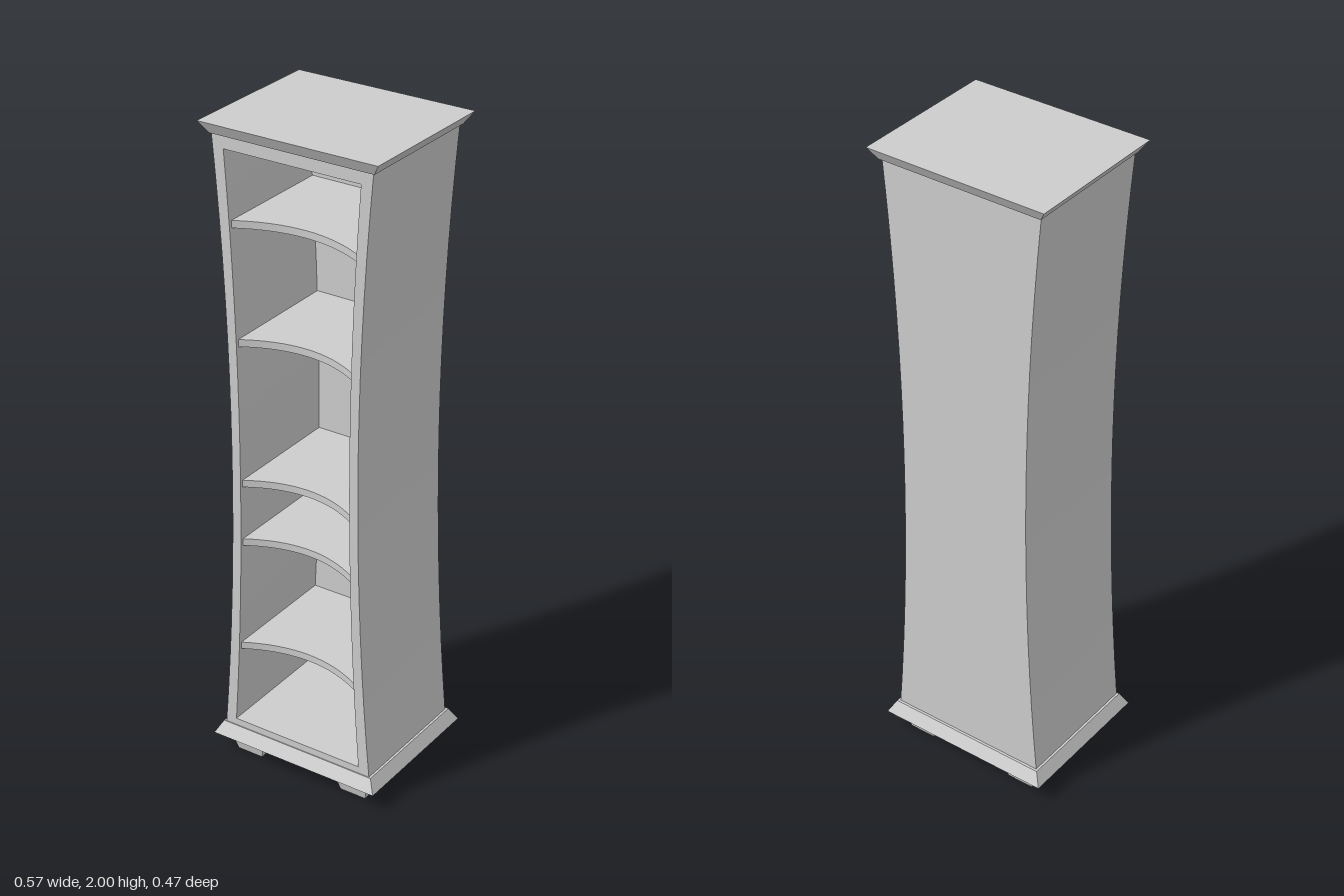
import * as THREE from 'three';
import { toCreasedNormals } from 'three/addons/utils/BufferGeometryUtils.js';

const BOTTOM = 0.1, TOP = 1.965, MID = 1.03, HALF = 0.933;
const bow = (y) => ((y - MID) / HALF) ** 2;
const outerHalf = (y) => 0.211 + 0.043 * bow(y);
const innerHalf = (y) => 0.183 + 0.036 * bow(y);

// Closed waisted outline between two heights
function waistedPoints(halfWidth, y0, y1, steps = 16) {
  const right = [], left = [];
  for (let i = 0; i <= steps; i++) {
    const y = y0 + (y1 - y0) * i / steps;
    right.push(new THREE.Vector2(halfWidth(y), y));
    left.unshift(new THREE.Vector2(-halfWidth(y), y));
  }
  return [...right, ...left];
}

function extrude(shape, depth) {
  const g = new THREE.ExtrudeGeometry(shape, { depth, bevelEnabled: false, curveSegments: 16 });
  return toCreasedNormals(g, 0.5);
}

// Box whose top and bottom have different half sizes
function taperedBox([bx, bz], [tx, tz], height, openBottom = false) {
  const box = new THREE.BoxGeometry(2, height, 2);
  const p = box.attributes.position;
  for (let i = 0; i < p.count; i++) {
    const up = p.getY(i) > 0;
    p.setX(i, p.getX(i) * (up ? tx : bx));
    p.setZ(i, p.getZ(i) * (up ? tz : bz));
  }
  if (openBottom) box.setIndex([...box.index.array].filter((_, i) => i < 18 || i > 23));
  box.clearGroups();
  const g = box.toNonIndexed();
  g.computeVertexNormals();
  return g;
}

export function createModel() {
  const group = new THREE.Group();
  const grey = new THREE.MeshStandardMaterial({ color: 0xcccccc, side: THREE.DoubleSide });
  grey.name = 'plain grey';
  const add = (name, geometry, x = 0, y = 0, z = 0) => {
    const mesh = new THREE.Mesh(geometry, grey);
    mesh.name = name;
    mesh.position.set(x, y, z);
    group.add(mesh);
    return mesh;
  };

  // Waisted case with its opening, closed by a back panel
  const caseShape = new THREE.Shape(waistedPoints(outerHalf, BOTTOM, TOP));
  caseShape.holes.push(new THREE.Path(waistedPoints(innerHalf, 0.122, 1.928).reverse()));
  add('case', extrude(caseShape, 0.39), 0, 0, -0.18);
  const backShape = new THREE.Shape(waistedPoints(outerHalf, BOTTOM, TOP));
  add('backPanel', extrude(backShape, 0.025), 0, 0, -0.205);

  // Shelves with a hollowed front edge
  for (const y of [0.37, 0.725, 0.917, 1.355, 1.703]) {
    const w = innerHalf(y + 0.011), front = 0.2, back = -0.18;
    const s = new THREE.Shape();
    s.moveTo(-w, -back);
    s.lineTo(-w, -front);
    s.quadraticCurveTo(0, -front + 0.11, w, -front);
    s.lineTo(w, -back);
    s.closePath();
    const shelf = add('shelf', extrude(s, 0.022), 0, y + 0.022, 0);
    shelf.rotation.x = Math.PI / 2;
    shelf.scale.y = -1;
  }

  // Cornice and hollow plinth
  add('cornice', taperedBox([0.259, 0.214], [0.283, 0.234], 0.035), 0, 1.9825, 0);
  add('plinth', taperedBox([0.283, 0.234], [0.261, 0.213], 0.04, true), 0, 0.08, 0);

  // Four tapered feet reaching up into the plinth
  for (const sx of [-1, 1]) {
    for (const sz of [-1, 1]) {
      add('foot', taperedBox([0.043, 0.037], [0.068, 0.06], 0.1), sx * 0.184, 0.05, sz * 0.152);
    }
  }
  return group;
}
